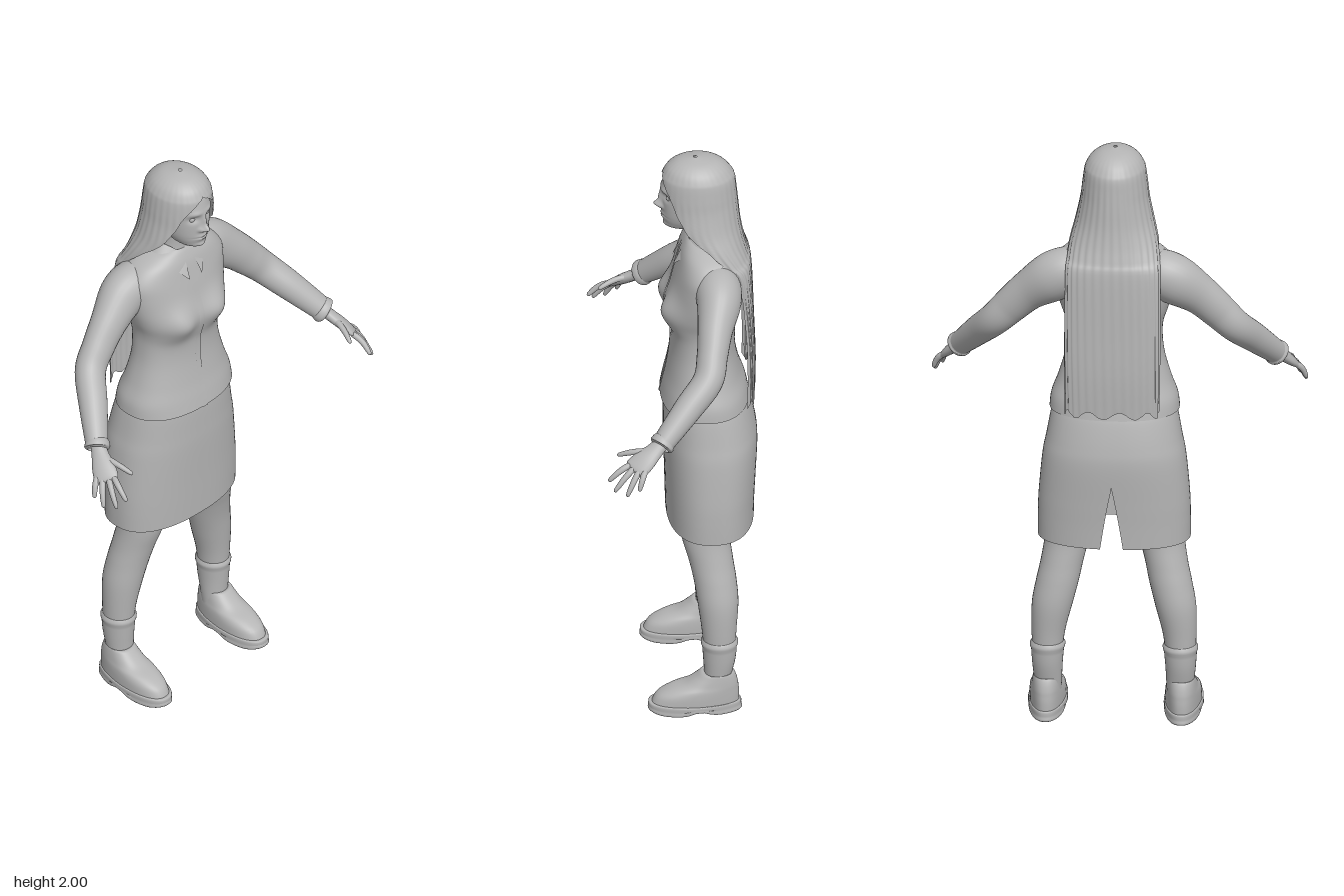
import * as THREE from 'three';
import { mergeVertices } from 'three/addons/utils/BufferGeometryUtils.js';

const TAU = Math.PI * 2;
const grey = new THREE.MeshStandardMaterial({ color: 0xb5b5b5, side: THREE.DoubleSide });
grey.name = 'plain grey';

// Smooth (Catmull-Rom) reading of a table of rows at u in 0..1
function sample(rows, u) {
  const f = Math.min(u, 1) * (rows.length - 1);
  const i = Math.min(Math.floor(f), rows.length - 2), t = f - i;
  const at = (k) => rows[Math.max(0, Math.min(rows.length - 1, k))];
  return rows[i].map((p1, c) => {
    const p0 = at(i - 1)[c], p2 = at(i + 1)[c], p3 = at(i + 2)[c];
    return p1 + 0.5 * t * (p2 - p0 + t * (2 * p0 - 5 * p1 + 4 * p2 - p3 + t * (3 * (p1 - p2) + p3 - p0)));
  });
}

// Surface from a rule f(u, v) -> [x, y, z]; u runs down, v runs round
function surface(nu, nv, f) {
  const pos = [], idx = [];
  for (let i = 0; i <= nu; i++) for (let j = 0; j <= nv; j++) pos.push(...f(i / nu, j / nv));
  for (let i = 0; i < nu; i++) for (let j = 0; j < nv; j++) {
    const a = i * (nv + 1) + j, b = a + nv + 1;
    idx.push(a, b, a + 1, b, b + 1, a + 1);
  }
  let g = new THREE.BufferGeometry();
  g.setAttribute('position', new THREE.Float32BufferAttribute(pos, 3));
  g.setIndex(idx);
  g = mergeVertices(g, 1e-5);
  g.computeVertexNormals();
  return g;
}

const spow = (v, e) => Math.sign(v) * Math.abs(v) ** e;
// Point on a horizontal ring: row = [y, half width, front z, back z]
function ring([y, w, zf, zb], a, e = 1) {
  return [w * spow(Math.sin(a), e), y, (zf + zb) / 2 + (zf - zb) / 2 * spow(Math.cos(a), e)];
}

// Tube with rows [x, y, z, r1, r2]; r1 lies along the side vector
function tube(rows, side, nu = 24, nv = 20) {
  const S = new THREE.Vector3(...side), V = (r) => new THREE.Vector3(r[0], r[1], r[2]);
  return surface(nu, nv, (u, v) => {
    const r = sample(rows, u);
    const T = V(sample(rows, Math.min(1, u + 0.01))).sub(V(sample(rows, Math.max(0, u - 0.01)))).normalize();
    const s = S.clone().addScaledVector(T, -S.dot(T)).normalize();
    const b = T.clone().cross(s);
    return V(r).addScaledVector(s, r[3] * Math.sin(v * TAU)).addScaledVector(b, r[4] * Math.cos(v * TAU)).toArray();
  });
}

function mirrored(geo) {
  const g = geo.clone().scale(-1, 1, 1), ix = g.index.array;
  for (let i = 0; i < ix.length; i += 3) [ix[i], ix[i + 1]] = [ix[i + 1], ix[i]];
  g.computeVertexNormals();
  return g;
}

const bump = (x, y, cx, cy, sx, sy) => Math.exp(-(((x - cx) / sx) ** 2) - ((y - cy) / sy) ** 2);

const BLOUSE = [
  [1.7, 0.066, -0.035, -0.165], [1.685, 0.11, -0.025, -0.185], [1.655, 0.165, -0.012, -0.197], [1.61, 0.2, 0, -0.203],
  [1.56, 0.2, 0.012, -0.205], [1.5, 0.19, 0.022, -0.203], [1.45, 0.176, 0.028, -0.2], [1.4, 0.16, 0.026, -0.195],
  [1.35, 0.156, 0.02, -0.19], [1.28, 0.163, 0.022, -0.19], [1.2, 0.185, 0.034, -0.205], [1.14, 0.207, 0.047, -0.225],
  [1.095, 0.213, 0.056, -0.235]];
function blousePoint(u, a) {
  const p = ring(sample(BLOUSE, u), a, 0.87);
  if (Math.cos(a) > 0) for (const s of [-1, 1]) p[2] += 0.036 * bump(p[0], p[1], s * 0.08, 1.45, 0.062, 0.06);
  return p;
}

const LEG = [
  [0.9, 0.12, 0.09, -0.1, 0.09], [0.75, 0.138, 0.083, -0.085, 0.085], [0.64, 0.152, 0.075, -0.083, 0.08],
  [0.55, 0.17, 0.07, -0.1, 0.073], [0.48, 0.185, 0.07, -0.113, 0.07], [0.4, 0.202, 0.067, -0.122, 0.067],
  [0.3, 0.215, 0.055, -0.125, 0.057], [0.2, 0.218, 0.047, -0.126, 0.05], [0.12, 0.216, 0.041, -0.12, 0.04],
  [0.07, 0.216, 0.038, -0.115, 0.04]];
function legPoint(u, v, grow) {
  const [y, cx, rx, cz, rz] = sample(LEG, u), a = v * TAU;
  return [cx + (rx + grow) * Math.sin(a), y, cz + (rz + grow) * Math.cos(a)];
}

function headGeometry() {
  const rows = [[1.985, 0.008, -0.05, -0.07], [1.97, 0.05, 0, -0.12], [1.945, 0.068, 0.034, -0.15], [1.91, 0.076, 0.047, -0.165],
    [1.88, 0.078, 0.051, -0.165], [1.85, 0.077, 0.049, -0.16], [1.82, 0.074, 0.048, -0.15], [1.79, 0.068, 0.046, -0.135],
    [1.765, 0.057, 0.042, -0.115], [1.745, 0.04, 0.034, -0.09], [1.735, 0.008, -0.01, -0.035]];
  return surface(100, 96, (u, v) => {
    const a = v * TAU - 0.6 * Math.sin(v * TAU);
    const p = ring(sample(rows, u), a, 0.93), x = Math.abs(p[0]), y = p[1];
    if (Math.cos(a) > 0) p[2] += 0.024 * bump(x, y, 0, 1.824, 0.012, 0.013) + 0.012 * bump(x, y, 0, 1.85, 0.01, 0.026)
      + 0.01 * bump(x, y, 0.014, 1.82, 0.008, 0.008) - 0.011 * bump(x, y, 0.032, 1.864, 0.018, 0.013)
      + 0.005 * bump(x, y, 0.03, 1.887, 0.025, 0.01) + 0.009 * bump(x, y, 0, 1.785, 0.022, 0.013)
      - 0.006 * bump(x, y, 0, 1.786, 0.026, 0.003) + 0.006 * bump(x, y, 0, 1.75, 0.02, 0.012);
    return p;
  });
}

// Long open-fronted hair: rows [y, half width, centre z, depth, sweep, squareness]
function hairGeometry() {
  const P = Math.PI;
  const rows = [[2, 0.006, -0.06, 0.006, P, 1], [1.99, 0.048, -0.065, 0.06, P, 1], [1.97, 0.078, -0.066, 0.094, P, 1],
    [1.945, 0.095, -0.068, 0.113, P, 1], [1.925, 0.101, -0.069, 0.121, 2.85, 1], [1.88, 0.107, -0.07, 0.125, 2.45, 1],
    [1.83, 0.113, -0.073, 0.127, 2.25, 1], [1.76, 0.128, -0.083, 0.124, 1.95, 0.95], [1.7, 0.144, -0.115, 0.103, 1.65, 0.9],
    [1.65, 0.152, -0.148, 0.083, 1.52, 0.75], [1.6, 0.156, -0.183, 0.06, 1.5, 0.6], [1.4, 0.157, -0.205, 0.046, 1.5, 0.5],
    [1.25, 0.156, -0.21, 0.046, 1.5, 0.5], [1.12, 0.154, -0.21, 0.043, 1.5, 0.5]];
  return surface(70, 120, (u, v) => {
    const [y, w, zc, d, sweep, e] = sample(rows, u);
    const a = (1 - 2 * v) * Math.min(sweep, P);
    const k = 1 + 0.012 * Math.min(1, u * 1.5) * Math.sin(a * 31 + y * 4);
    return [-w * k * Math.sin(a), y + (u > 0.99 ? 0.012 * Math.sin(a * 9) : 0), zc - d * k * spow(Math.cos(a), e)];
  });
}

function skirtGeometry() {
  const rows = [[1.13, 0.19, 0.035, -0.215], [1.09, 0.205, 0.043, -0.234], [1, 0.222, 0.045, -0.255], [0.93, 0.235, 0.045, -0.262],
    [0.8, 0.247, 0.041, -0.256], [0.72, 0.25, 0.039, -0.252], [0.645, 0.25, 0.037, -0.25]];
  return surface(50, 80, (u, v) => {
    const r = sample(rows, u), gap = Math.max(0, 0.86 - r[0]) * 0.5; // back slit
    return ring(r, Math.PI + gap + v * (TAU - 2 * gap), 0.85);
  });
}

function shoeGeometry(rows, arch) {
  return surface(24, 48, (u, v) => {
    const r = sample(rows, u), p = ring(r, v * TAU, 0.85);
    p[0] = 0.222 + p[0] * (p[2] < -0.05 ? 1 + (p[2] + 0.05) * 1.3 : 1);
    if (arch) p[1] += (r[0] < 0.02 ? 1 : 0) * (0.016 * bump(0, p[2], 0, -0.06, 1, 0.035) + 0.006 * bump(0, p[2], 0, 0.11, 1, 0.03));
    return p;
  });
}

function collarGeometry() {
  return surface(6, 60, (u, v) => {
    const a = 0.3 + v * (TAU - 0.6), f = Math.max(0, Math.cos(a)) ** 3;
    const w = 0.064 + 0.036 * u - 0.012 * f, d = 0.062 + 0.03 * u;
    return [w * Math.sin(a), 1.722 - 0.04 * f - u * (0.04 + 0.05 * f), -0.098 + d * Math.cos(a) + f * (0.012 + 0.016 * u)];
  });
}

export function createModel() {
  const model = new THREE.Group();
  model.name = 'standingWoman';
  const add = (name, geo) => {
    const m = new THREE.Mesh(geo, grey);
    m.name = name;
    model.add(m);
  };
  const pair = (name, geo) => { add(name + 'Left', geo); add(name + 'Right', mirrored(geo)); };

  // Head, neck and hair
  add('head', headGeometry());
  pair('eye', new THREE.SphereGeometry(0.012, 16, 12).translate(0.032, 1.862, 0.025));
  add('neck', tube([[0, 1.79, -0.085, 0.055, 0.055], [0, 1.72, -0.09, 0.052, 0.055], [0, 1.64, -0.1, 0.066, 0.07]], [1, 0, 0]));
  add('hair', hairGeometry());

  // Clothes
  add('blouse', surface(70, 80, (u, v) => blousePoint(u, v * TAU)));
  add('collar', collarGeometry());
  add('placket', surface(50, 4, (u, v) => {
    const p = blousePoint(0.12 + 0.88 * u, 0);
    return [(v - 0.5) * 0.022, p[1], p[2] + 0.003];
  }));
  add('skirt', skirtGeometry());

  // Sleeves and cuffs
  pair('sleeve', tube([[0.11, 1.59, -0.12, 0.06, 0.06], [0.15, 1.585, -0.125, 0.075, 0.078], [0.205, 1.556, -0.125, 0.073, 0.083],
    [0.28, 1.5, -0.108, 0.058, 0.067], [0.34, 1.44, -0.095, 0.051, 0.06], [0.395, 1.38, -0.077, 0.05, 0.054],
    [0.45, 1.312, -0.01, 0.047, 0.049], [0.52, 1.22, 0.08, 0.036, 0.039]], [0, 0, 1], 48, 28));
  pair('cuff', tube([[0.512, 1.23, 0.07, 0.037, 0.04], [0.516, 1.225, 0.076, 0.041, 0.043], [0.522, 1.217, 0.083, 0.041, 0.043],
    [0.525, 1.214, 0.086, 0.03, 0.03]], [0, 0, 1], 10, 28));

  // Hands
  const across = [0.45, -0.09, -0.89];
  pair('palm', tube([[0.508, 1.235, 0.068, 0.025, 0.021], [0.528, 1.208, 0.1, 0.028, 0.019], [0.547, 1.182, 0.135, 0.038, 0.018],
    [0.56, 1.162, 0.162, 0.041, 0.014], [0.566, 1.152, 0.175, 0.034, 0.009], [0.568, 1.15, 0.178, 0.001, 0.001]], across));
  const digits = {
    thumb: [[0.528, 1.2, 0.118], [0.5, 1.172, 0.226]], indexFinger: [[0.5485, 1.163, 0.188], [0.56, 1.11, 0.258]],
    middleFinger: [[0.557, 1.161, 0.17], [0.587, 1.085, 0.24]], ringFinger: [[0.566, 1.16, 0.153], [0.608, 1.079, 0.2]],
    littleFinger: [[0.575, 1.157, 0.138], [0.611, 1.1, 0.16]],
  };
  for (const [name, [b, t]] of Object.entries(digits)) {
    const rows = [[0, 0.01], [0.3, 0.0105], [0.6, 0.0095], [0.85, 0.008], [0.97, 0.0055], [1, 0.0005]].map(([k, r]) => {
      const q = b.map((c, i) => c + (t[i] - c) * k), bend = 0.008 * Math.sin(k * Math.PI);
      return [q[0] + bend * 0.5, q[1] + bend, q[2], r, r];
    });
    pair(name, tube(rows, across, 18, 12));
  }

  // Legs, socks and shoes
  pair('leg', surface(50, 32, (u, v) => legPoint(u, v, 0)));
  pair('sock', surface(24, 32, (u, v) => legPoint(0.703 + 0.25 * u, v, u === 0 ? 0 : u < 0.1 ? 0.007 : 0.004)));
  pair('shoe', shoeGeometry([[0.14, 0.04, -0.08, -0.165], [0.142, 0.046, -0.066, -0.172], [0.125, 0.05, -0.045, -0.18],
    [0.102, 0.054, -0.01, -0.186], [0.085, 0.058, 0.04, -0.188], [0.062, 0.06, 0.08, -0.19], [0.03, 0.06, 0.098, -0.19]], false));
  pair('sole', shoeGeometry([[0.036, 0.056, 0.094, -0.186], [0.035, 0.064, 0.106, -0.196], [0.018, 0.064, 0.107, -0.197],
    [0.001, 0.062, 0.104, -0.195], [0, 0.03, 0.05, -0.14], [0, 0.002, -0.04, -0.05]], true));
  return model;
}
